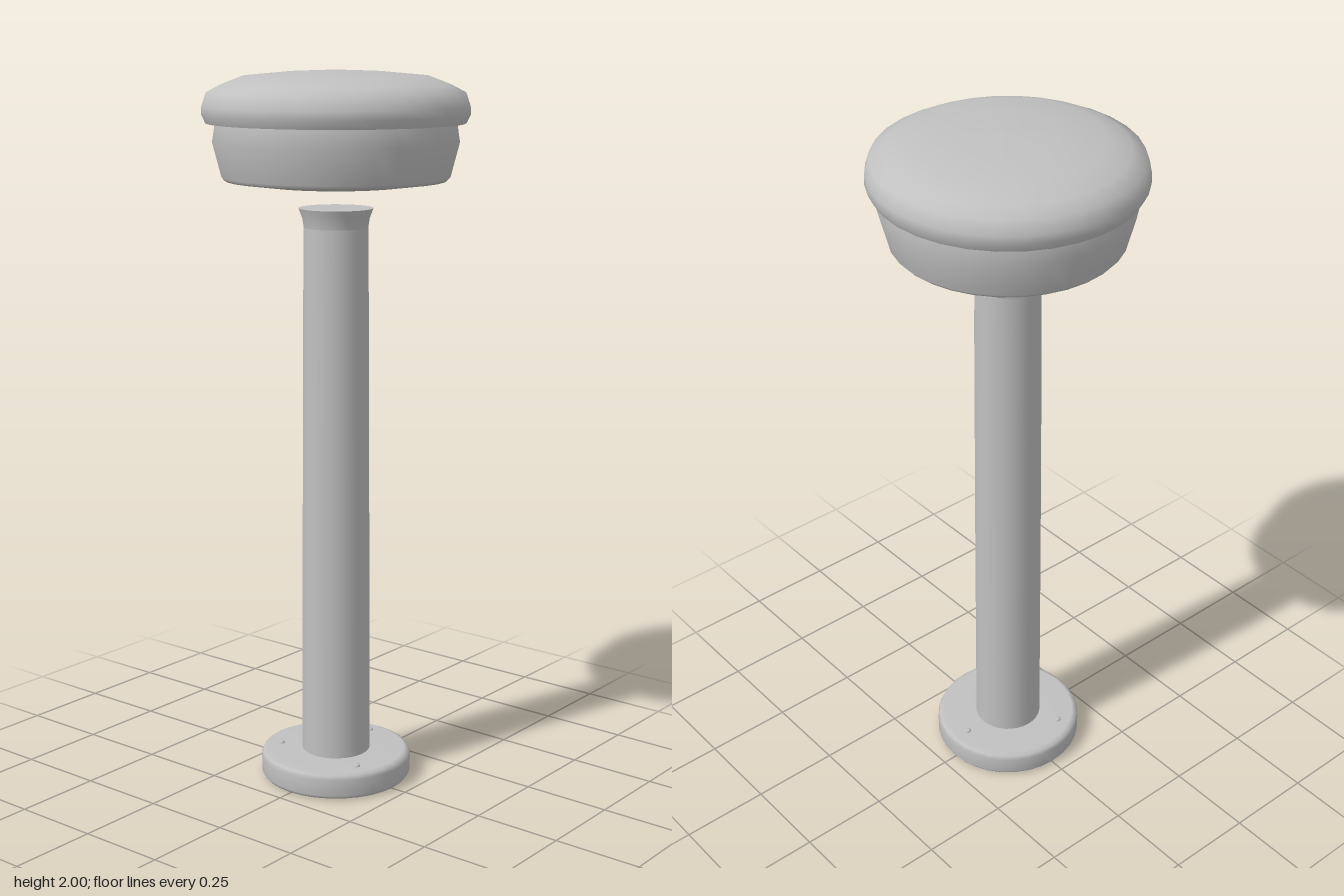
import * as THREE from 'three';

const SIDES = 32;

export function createModel() {
  const group = new THREE.Group();
  const grey = new THREE.MeshStandardMaterial({ color: 0xc0c0c0 });
  grey.name = 'plain grey';

  const add = (name, geometry, parent = group) => {
    const mesh = new THREE.Mesh(geometry, grey);
    mesh.name = name;
    parent.add(mesh);
    return mesh;
  };

  // Profiles run from the bottom to the top as [radius, height]
  const turn = (name, profile, parent) => add(name,
    new THREE.LatheGeometry(profile.map(([r, y]) => new THREE.Vector2(r, y)), SIDES), parent);

  // Base plate with rounded rims
  turn('basePlate', [
    [0, 0.003], [0.19, 0.003], [0.207, 0.006], [0.214, 0.016], [0.214, 0.062],
    [0.209, 0.074], [0.197, 0.079], [0.09, 0.08], [0, 0.08],
  ]);

  // Three bolts around the base plate
  const bolts = new THREE.Group();
  bolts.name = 'baseBolts';
  group.add(bolts);
  for (let i = 0; i < 3; i++) {
    const angle = i * Math.PI * 2 / 3;
    const bolt = turn('bolt', [[0.01, 0.076], [0.01, 0.082], [0.007, 0.085], [0, 0.086]], bolts);
    bolt.position.set(Math.cos(angle) * 0.16, 0, Math.sin(angle) * 0.16);
  }

  // Tapered column with a flared collar and a flat cap
  turn('column', [[0.097, 0.078], [0.094, 0.75], [0.09, 1.4], [0.088, 1.58]]);
  turn('columnCollar', [[0.088, 1.58], [0.092, 1.605], [0.102, 1.632]]);
  turn('columnCap', [[0.102, 1.632], [0, 1.632]]);

  // Seat pan, with a shallow socket above the column
  turn('seatSocket', [[0, 1.705], [0.098, 1.705]]);
  turn('seatSocketWall', [[0.098, 1.705], [0.098, 1.685]]);
  turn('seatPan', [
    [0.098, 1.685], [0.2, 1.694], [0.3, 1.707], [0.309, 1.717],
    [0.333, 1.81], [0.325, 1.862],
  ]);

  // Padded cushion with a flat underside
  turn('cushionUnderside', [[0, 1.86], [0.35, 1.86]]);
  turn('cushion', [
    [0.35, 1.86], [0.361, 1.883], [0.36, 1.905], [0.348, 1.941], [0.31, 1.961],
    [0.25, 1.984], [0.13, 1.995], [0, 2.0],
  ]);

  return group;
}
